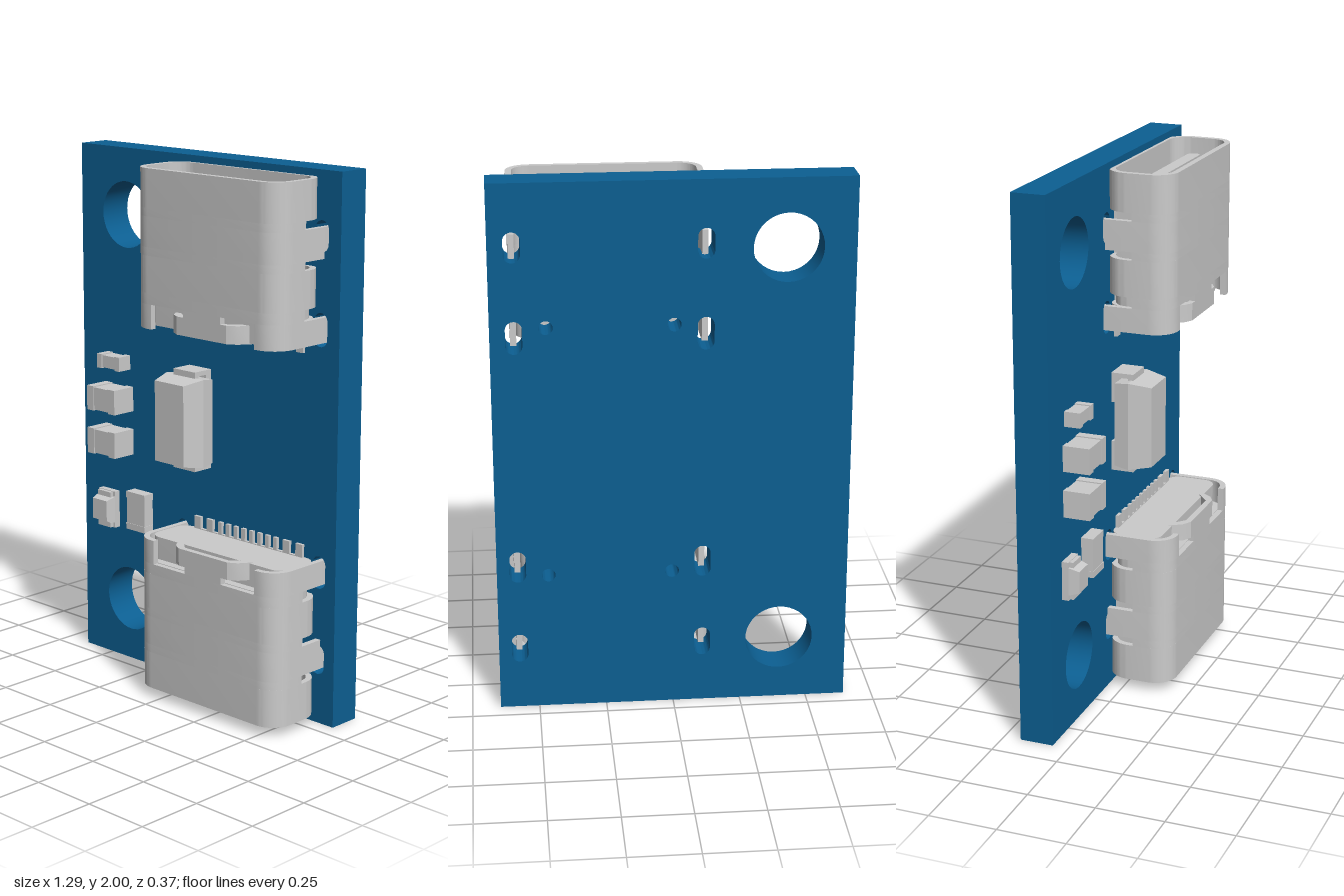
import * as THREE from 'three';
import { toCreasedNormals } from 'three/addons/utils/BufferGeometryUtils.js';

const grey = new THREE.MeshStandardMaterial({ color: 0xcccccc });
const blue = new THREE.MeshStandardMaterial({ color: 0x0c5f92 });
const FACE = -0.06; // front face of the board

function add(parent, name, geo, mat = grey) {
  const m = new THREE.Mesh(geo, mat);
  m.name = name;
  parent.add(m);
  return m;
}

// Box given by its limits
function box(parent, name, x0, x1, y0, y1, z0, z1) {
  const g = new THREE.BoxGeometry(x1 - x0, y1 - y0, z1 - z0);
  g.translate((x0 + x1) / 2, (y0 + y1) / 2, (z0 + z1) / 2);
  return add(parent, name, g);
}

// Box whose +z end (or -z end) is shrunk by an inset
function taperedBox(x0, x1, y0, y1, z0, z1, insetX, insetY, front = true) {
  const g = new THREE.BoxGeometry(x1 - x0, y1 - y0, z1 - z0);
  const p = g.attributes.position;
  for (let i = 0; i < p.count; i++) {
    if ((p.getZ(i) > 0) !== front) continue;
    p.setX(i, p.getX(i) - Math.sign(p.getX(i)) * insetX);
    p.setY(i, p.getY(i) - Math.sign(p.getY(i)) * insetY);
  }
  g.translate((x0 + x1) / 2, (y0 + y1) / 2, (z0 + z1) / 2);
  g.computeVertexNormals();
  return g;
}

// Extrude a cross-section drawn in (x, -z) along y
function prism(shape, y0, y1) {
  const g = new THREE.ExtrudeGeometry(shape, { depth: y1 - y0, bevelEnabled: false, curveSegments: 8 });
  g.rotateX(-Math.PI / 2).translate(0, y0, 0);
  return toCreasedNormals(g, 0.5);
}

function roundRect(target, x0, x1, y0, y1, r) {
  target.moveTo(x0 + r, y0);
  target.lineTo(x1 - r, y0).absarc(x1 - r, y0 + r, r, -Math.PI / 2, 0);
  target.lineTo(x1, y1 - r).absarc(x1 - r, y1 - r, r, 0, Math.PI / 2);
  target.lineTo(x0 + r, y1).absarc(x0 + r, y1 - r, r, Math.PI / 2, Math.PI);
  target.lineTo(x0, y0 + r).absarc(x0 + r, y0 + r, r, Math.PI, Math.PI * 1.5);
  return target;
}

// Shell of the socket: half width, front and back z, corner radius, wall
const HW = 0.35, ZF = 0.185, ZB = -0.07, R = 0.085, T = 0.022;

// Half of the shell wall: from x = inner, round the front corner, down the side to z = low
function halfWall(side, inner, low) {
  const pts = [];
  const arc = (r, rev) => {
    for (let i = 0; i <= 8; i++) {
      const a = ((rev ? 8 - i : i) / 8) * Math.PI / 2;
      pts.push(new THREE.Vector2(side * (HW - R + r * Math.sin(a)), -(ZF - R + r * Math.cos(a))));
    }
  };
  pts.push(new THREE.Vector2(side * inner, -ZF));
  arc(R, false);
  pts.push(new THREE.Vector2(side * HW, -low), new THREE.Vector2(side * (HW - T), -low));
  arc(R - T, true);
  pts.push(new THREE.Vector2(side * inner, -(ZF - T)));
  return new THREE.Shape(pts);
}

// Socket opening towards +y, its rear end at y = 0
function makeSocket(name) {
  const g = new THREE.Group();
  g.name = name;

  // Closed shell rings
  for (const [y0, y1] of [[0.13, 0.265], [0.435, 0.575]]) {
    const s = roundRect(new THREE.Shape(), -HW, HW, -ZF, -ZB, R);
    s.holes.push(roundRect(new THREE.Path(), -HW + T, HW - T, -ZF + T, -ZB - T, R - T));
    add(g, 'shellRing', prism(s, y0, y1));
  }
  // Side slots and the legs that enter the board
  const sections = [
    ['shellLeg', 0, 0.09, 0.25, -0.13], ['shellSlot', 0.09, 0.13, 0, 0.04],
    ['shellSlot', 0.265, 0.295, 0, 0.04], ['shellLeg', 0.295, 0.405, 0, -0.13],
    ['shellSlot', 0.405, 0.435, 0, 0.04],
  ];
  for (const [part, y0, y1, inner, low] of sections)
    for (const side of [-1, 1]) add(g, part, prism(halfWall(side, inner, low), y0, y1));
  box(g, 'shellBackPlate', -HW + R, HW - R, 0, 0.575, ZB, ZB + T);

  // Rear flap with bent wings
  const flap = new THREE.Shape([
    [-0.185, -0.12], [-0.155, -0.165], [-0.12, -ZF], [0.12, -ZF], [0.155, -0.165], [0.185, -0.12],
    [0.16, -0.12], [0.11, -ZF + T], [-0.11, -ZF + T], [-0.16, -0.12],
  ].map(([x, y]) => new THREE.Vector2(x, y)));
  add(g, 'rearFlap', prism(flap, 0, 0.065));
  box(g, 'flapNeck', -0.09, 0.09, 0.065, 0.09, ZF - T, ZF);

  // Inner housing and tongue
  const inside = roundRect(new THREE.Shape(), -HW + T, HW - T, -0.13, 0.06, 0.05);
  add(g, 'housing', prism(inside, 0.003, 0.09));
  const floor = roundRect(new THREE.Shape(), -HW + T, HW - T, -ZF + T, -ZB - T, R - T);
  add(g, 'housingFloor', prism(floor, 0.088, 0.13));
  const tongue = roundRect(new THREE.Shape(), -0.258, 0.258, -0.08, -0.032, 0.023);
  add(g, 'tongue', prism(tongue, 0.12, 0.53));

  // Solder pins
  for (const side of [-1, 1])
    for (const [x, w] of [[0.0196, 0.018], [0.0587, 0.018], [0.098, 0.018], [0.137, 0.018], [0.19, 0.032], [0.252, 0.032]])
      box(g, 'pin', side * x - w / 2, side * x + w / 2, -0.045, 0.02, FACE - 0.002, FACE + 0.012);
  return g;
}

// Chip part with metal ends along x or y
function makeChip(name, x0, x1, y0, y1, top, end, alongX, gap = 0.004) {
  const g = new THREE.Group();
  g.name = name;
  if (alongX) {
    box(g, 'chipBody', x0 + end, x1 - end, y0 + gap, y1 - gap, FACE, top - gap);
    box(g, 'chipEnd', x0, x0 + end, y0, y1, FACE, top);
    box(g, 'chipEnd', x1 - end, x1, y0, y1, FACE, top);
  } else {
    box(g, 'chipBody', x0 + gap, x1 - gap, y0 + end, y1 - end, FACE, top - gap);
    box(g, 'chipEnd', x0, x1, y0, y0 + end, FACE, top);
    box(g, 'chipEnd', x0, x1, y1 - end, y1, FACE, top);
  }
  return g;
}

export function createModel() {
  const model = new THREE.Group();
  model.name = 'socketBoard';
  const sockets = [[0.222, 1.4, 1], [0.23, 0.613, -1]];

  // Board with mounting holes, leg slots and peg holes
  const s = new THREE.Shape();
  s.moveTo(-0.645, 0).lineTo(0.645, 0).lineTo(0.645, 2).lineTo(-0.645, 2).closePath();
  const hole = (x, y, r) => s.holes.push(new THREE.Path().absarc(x, y, r, 0, Math.PI * 2));
  hole(-0.405, 1.75, 0.125);
  hole(-0.395, 0.245, 0.125);
  for (const [x, y, dir] of sockets)
    for (const side of [-1, 1]) {
      hole(x + side * 0.226, y + dir * 0.08, 0.025);
      for (const [cy, h] of [[0.045, 0.06], [0.372, 0.055]]) {
        const cx = x + side * 0.338, yy = y + dir * cy;
        s.holes.push(roundRect(new THREE.Path(), cx - 0.03, cx + 0.03, yy - h, yy + h, 0.0299));
      }
    }
  const board = new THREE.ExtrudeGeometry(s, { depth: 0.125, bevelEnabled: false, curveSegments: 20 });
  board.translate(0, 0, -0.185);
  add(model, 'board', toCreasedNormals(board, 0.6), blue);

  // Two sockets, facing up and down
  for (const [x, y, dir] of sockets) {
    const g = makeSocket(dir > 0 ? 'upperSocket' : 'lowerSocket');
    g.position.set(x, y, 0);
    if (dir < 0) g.rotation.z = Math.PI;
    model.add(g);
  }

  // Diode: tapered body and folded leads
  const diode = new THREE.Group();
  diode.name = 'diode';
  add(diode, 'diodeTop', taperedBox(-0.115, 0.075, 0.875, 1.205, 0.02, 0.103, 0.022, 0.014));
  add(diode, 'diodeBase', taperedBox(-0.115, 0.075, 0.875, 1.205, -0.035, 0.02, 0.008, 0.008, false));
  for (const d of [-1, 1]) {
    const y = (a, b) => [1.04 + d * a, 1.04 + d * b].sort((p, q) => p - q);
    box(diode, 'leadTop', -0.075, 0.035, ...y(0.15, 0.187), 0.005, 0.025);
    box(diode, 'leadSide', -0.075, 0.035, ...y(0.17, 0.187), FACE, 0.02);
    box(diode, 'leadFoot', -0.075, 0.035, ...y(0.075, 0.187), FACE, -0.034);
  }
  model.add(diode);

  // Small chip parts
  model.add(
    makeChip('smallResistor', -0.51, -0.39, 1.16, 1.215, 0.0, 0.025, true),
    makeChip('upperCapacitor', -0.525, -0.375, 1.0, 1.095, 0.04, 0.035, true),
    makeChip('lowerCapacitor', -0.525, -0.375, 0.83, 0.93, 0.04, 0.035, true),
    makeChip('resistor', -0.37, -0.27, 0.545, 0.695, -0.013, 0.025, false, 0.002),
  );

  // Indicator lamp with a tapered lens
  const lamp = new THREE.Group();
  lamp.name = 'lamp';
  box(lamp, 'lampBase', -0.545, -0.455, 0.525, 0.67, FACE, -0.035);
  add(lamp, 'lampLens', taperedBox(-0.545, -0.455, 0.545, 0.65, -0.035, 0.004, 0.006, 0.012));
  for (const y of [0.527, 0.648]) box(lamp, 'lampEnd', -0.535, -0.465, y, y + 0.02, -0.035, -0.02);
  model.add(lamp);

  return model;
}
